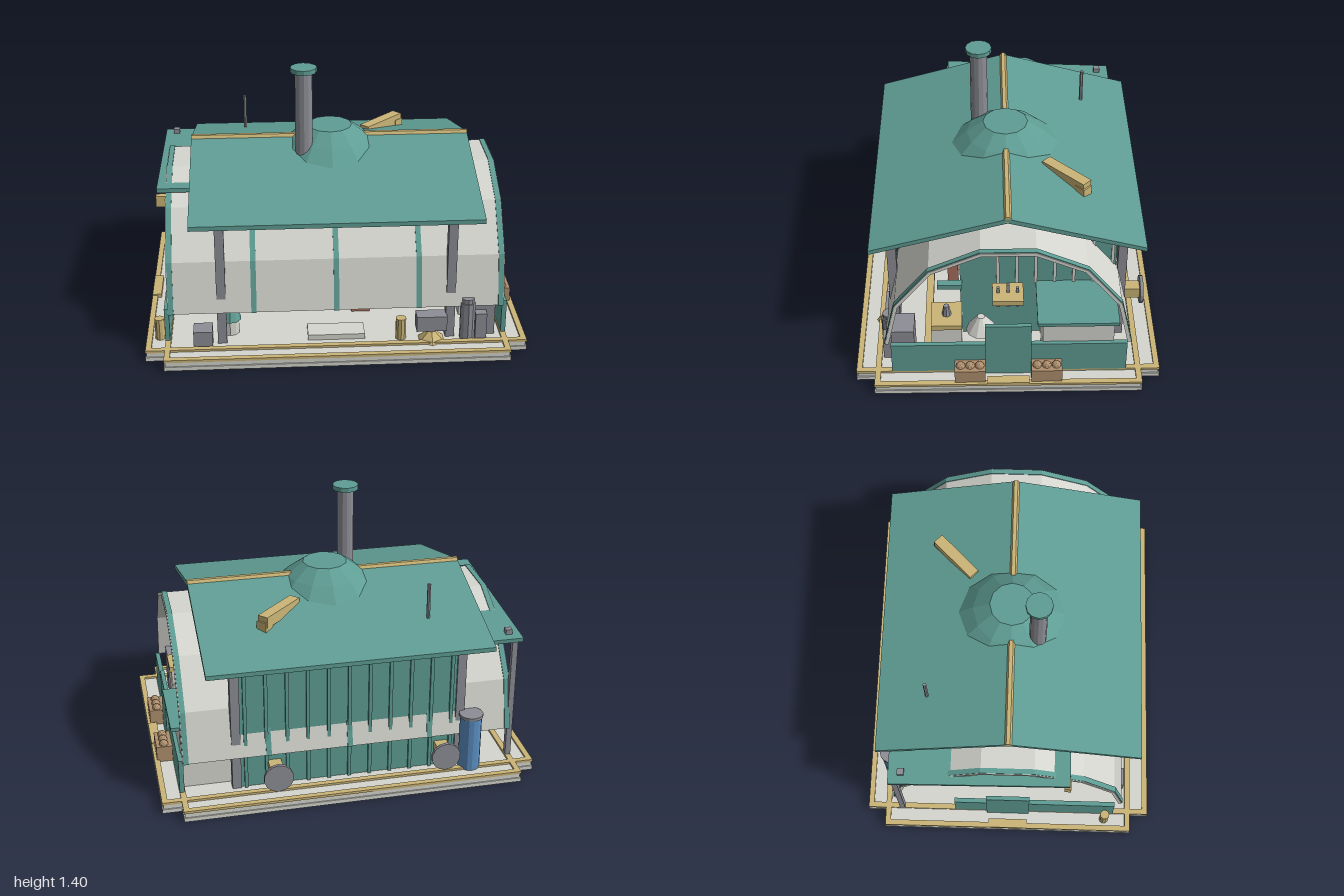
import * as THREE from 'three';

const mat = (name, color) => Object.assign(new THREE.MeshStandardMaterial({ color, flatShading: true }), { name });

export function createModel() {
  const root = new THREE.Group();
  const teal = mat('teal paint', 0x5f9d94), white = mat('off white panel', 0xd6d6d0), grey = mat('grey metal', 0x8d8e96),
    tan = mat('tan timber', 0xcbb577), brown = mat('brown crate', 0xb0906e), brick = mat('brick red', 0xa96f5c),
    blue = mat('barrel blue', 0x5b8fc2);

  const add = (name, geo, m, x = 0, y = 0, z = 0) => {
    const mesh = new THREE.Mesh(geo, m);
    mesh.name = name;
    mesh.position.set(x, y, z);
    root.add(mesh);
    return mesh;
  };
  // box given by its limits on each axis
  const box = (name, m, x0, x1, y0, y1, z0, z1) =>
    add(name, new THREE.BoxGeometry(x1 - x0, y1 - y0, z1 - z0), m, (x0 + x1) / 2, (y0 + y1) / 2, (z0 + z1) / 2);
  const cyl = (name, m, x, z, y0, y1, r0, r1 = r0, n = 10) =>
    add(name, new THREE.CylinderGeometry(r1, r0, y1 - y0, n), m, x, (y0 + y1) / 2, z);

  // Base: two crossing slabs with timber frames
  for (const [a, b] of [[1, 0.7], [0.9, 0.8]]) {
    box('baseLower', white, -a, a, 0, 0.022, -b, b);
    box('baseUpper', white, -a + 0.006, a - 0.006, 0.022, 0.05, -b + 0.006, b - 0.006);
    for (const s of [-1, 1]) {
      const zc = s * (b - 0.015), xc = s * (a - 0.015);
      box('baseRailX', tan, -a, a, 0.048, 0.062, zc - 0.015, zc + 0.015);
      box('baseRailZ', tan, xc - 0.015, xc + 0.015, 0.048, 0.062, -b, b);
    }
  }
  for (const s of [-1, 1]) {
    box('doorStep', tan, s * 0.975 - 0.025, s * 0.975 + 0.025, 0.05, 0.07, -0.11, 0.11);
  }

  // Arched shell, open at both ends, with rib strips
  const half = [[0.64, 0.24], [0.58, 0.51], [0.4, 0.74], [0.14, 0.86]];
  const arch = (inset) => {
    const right = half.map(([z, y], i) => [z - inset * [1, 0.93, 0.7, 0.35][i], y - inset * [0, 0.35, 0.75, 1][i]]);
    return [...right, ...right.slice().reverse().map(([z, y]) => [-z, y])];
  };
  const archGeo = (length, outer, inner) => {
    const shape = new THREE.Shape([...arch(outer), ...arch(inner).reverse()].map(p => new THREE.Vector2(...p)));
    const g = new THREE.ExtrudeGeometry(shape, { depth: length, bevelEnabled: false });
    return g.translate(0, 0, -length / 2).rotateY(Math.PI / 2);
  };
  add('archShell', archGeo(1.76, 0, 0.018), white);
  for (const x of [-0.862, -0.431, 0, 0.431, 0.862]) add('archRib', archGeo(0.028, -0.005, 0.004), teal, x);

  // Gable roof
  const roof = new THREE.Shape([[0.705, 0.748], [0.705, 0.772], [0, 0.972], [-0.705, 0.772], [-0.705, 0.748], [0, 0.945]]
    .map(p => new THREE.Vector2(...p)));
  add('gableRoof', new THREE.ExtrudeGeometry(roof, { depth: 1.5, bevelEnabled: false })
    .translate(0, 0, -0.75).rotateY(Math.PI / 2), teal);
  add('ridgePole', new THREE.CylinderGeometry(0.02, 0.02, 1.5, 6).rotateZ(Math.PI / 2), tan, 0, 0.965);
  const dome = [[0.31, 0.87], [0.21, 0.965], [0.12, 1.03], [0, 1.03]].map(p => new THREE.Vector2(...p));
  add('roofDome', new THREE.LatheGeometry(dome, 12), teal);
  for (const x of [-0.6, 0.6]) for (const z of [-0.6, 0.6]) box('roofPost', grey, x - 0.024, x + 0.024, 0.05, 0.78, z - 0.024, z + 0.024);

  // Chimney, aerial and angled roof beam
  cyl('chimney', grey, -0.145, 0.14, 0.9, 1.39, 0.046, 0.046, 12);
  cyl('chimneyCap', teal, -0.145, 0.14, 1.38, 1.405, 0.07, 0.07, 12);
  cyl('aerial', grey, -0.46, -0.44, 0.8, 1.04, 0.01, 0.01, 6);
  const beam = add('roofBeam', new THREE.BoxGeometry(0.29, 0.06, 0.06), tan, 0.31, 0.9, -0.315);
  beam.rotation.y = Math.PI / 4;
  const beamPost = box('roofBeamPost', tan, 0.37, 0.43, 0.74, 0.9, -0.43, -0.37);
  beamPost.rotation.y = Math.PI / 4;

  // Back wall with battens and pale lining
  box('backWall', teal, -0.6, 0.6, 0.05, 0.77, -0.612, -0.585);
  box('backLining', white, -0.6, 0.6, 0.05, 0.24, -0.584, -0.576);
  for (let i = 0; i < 11; i++) {
    const x = -0.55 + i * 0.11;
    box('backBatten', teal, x - 0.009, x + 0.009, 0.05, 0.765, -0.626, -0.61);
  }

  // Inner wall facing the left end
  box('innerWall', teal, 0.575, 0.6, 0.05, 0.765, -0.57, 0.25);
  for (const z of [0.05, -0.05, -0.15, -0.25, -0.35, -0.45, -0.55]) {
    box('innerBatten', white, 0.6, 0.61, 0.41, 0.735, z - 0.008, z + 0.008);
  }
  box('innerWallCap', teal, 0.57, 0.63, 0.745, 0.77, -0.57, 0.27);

  // Low end walls with a raised middle panel
  box('leftLowWall', teal, 0.875, 0.9, 0.05, 0.25, -0.62, 0.61);
  box('leftMiddlePanel', teal, 0.89, 0.912, 0.05, 0.39, -0.12, 0.12);
  box('rightLowWall', teal, -0.9, -0.875, 0.05, 0.25, -0.3, 0.6);
  box('rightMiddlePanel', teal, -0.912, -0.89, 0.05, 0.39, -0.12, 0.12);

  // Counter on the left end
  box('counterBody', white, 0.6, 0.88, 0.05, 0.4, -0.55, -0.18);
  box('counterTop', teal, 0.57, 0.925, 0.4, 0.42, -0.57, -0.15);

  // Crates with round goods
  for (const z of [-0.2, 0.2]) {
    box('crate', brown, 0.9, 0.985, 0.05, 0.14, z - 0.08, z + 0.08);
    for (const d of [-0.05, 0, 0.05]) add('crateGoods', new THREE.IcosahedronGeometry(0.025, 1), brown, 0.943, 0.14, z + d);
  }

  // Sloped canopy on the right end
  const canopy = add('canopy', new THREE.BoxGeometry(0.36, 0.022, 0.96), teal, -0.745, 0.782, -0.15);
  canopy.rotation.x = -0.047;
  box('canopyBracket', tan, -0.93, -0.875, 0.715, 0.775, 0.3, 0.335);
  box('canopyPost', grey, -0.9, -0.87, 0.05, 0.76, -0.62, -0.59);
  box('canopyVent', grey, -0.88, -0.845, 0.76, 0.8, -0.58, -0.545);

  // Brick flue
  box('flueTop', brick, -0.2, 0.2, 0.78, 0.86, -0.26, 0.26);
  box('flueStack', brick, 0.1, 0.2, 0.05, 0.8, 0.27, 0.33);
  box('flueClamp', grey, 0.09, 0.21, 0.53, 0.56, 0.265, 0.335);

  // Stove and shelf behind the left end wall
  box('stove', white, 0.68, 0.84, 0.05, 0.31, 0.24, 0.4);
  box('stoveTray', tan, 0.67, 0.85, 0.31, 0.34, 0.24, 0.4);
  box('stoveRail', teal, 0.6, 0.64, 0.4, 0.43, 0.24, 0.37);
  cyl('stovePipe', grey, 0.76, 0.32, 0.34, 0.4, 0.025, 0.015, 8);
  cyl('lampShade', white, 0.78, 0.14, 0.25, 0.34, 0.08, 0.02);
  box('shelf', tan, 0.7, 0.84, 0.47, 0.5, -0.08, 0.08);
  for (const z of [-0.05, 0, 0.05]) box('shelfRod', grey, 0.76, 0.775, 0.4, z ? 0.53 : 0.555, z - 0.008, z + 0.008);

  // Benches and goods inside, seen under the front edge
  box('longBeam', tan, -0.65, 0.82, 0.15, 0.18, 0.4, 0.44);
  box('hangingBox', grey, -0.12, 0.12, 0.185, 0.24, 0.4, 0.5);
  box('frontSlab', white, -0.15, 0.15, 0.05, 0.08, 0.5, 0.62);
  box('innerBlock', teal, -0.09, 0.09, 0.05, 0.135, -0.1, 0.1);
  box('workTable', tan, -0.8, -0.6, 0.42, 0.45, -0.15, 0.15);
  box('workTableLegs', grey, -0.74, -0.66, 0.05, 0.42, -0.1, 0.1);

  // Small objects along the front
  cyl('bollard', tan, -0.93, 0.55, 0.05, 0.17, 0.026);
  cyl('bollard', tan, 0.34, 0.62, 0.05, 0.17, 0.028);
  cyl('canister', grey, 0.69, 0.63, 0.05, 0.26, 0.04);
  cyl('canisterCap', grey, 0.69, 0.63, 0.26, 0.285, 0.033);
  box('canisterSide', grey, 0.73, 0.79, 0.05, 0.2, 0.58, 0.66);
  cyl('machineFoot', tan, 0.5, 0.64, 0.05, 0.1, 0.075, 0.02, 6);
  box('machineBody', grey, 0.42, 0.58, 0.105, 0.19, 0.58, 0.66);
  box('toolBox', grey, -0.75, -0.65, 0.05, 0.14, 0.56, 0.66);
  cyl('bucket', white, -0.56, 0.5, 0.05, 0.13, 0.05);
  cyl('bucketCover', teal, -0.56, 0.5, 0.13, 0.22, 0.06, 0.03);
  box('cabinet', grey, 0.7, 0.84, 0.05, 0.29, 0.49, 0.61);

  // Barrel and reels along the back
  cyl('barrel', blue, -0.65, -0.66, 0.05, 0.355, 0.058, 0.058, 14);
  cyl('barrelLid', grey, -0.65, -0.66, 0.355, 0.372, 0.064, 0.064, 14);
  for (const [x, z] of [[-0.5, -0.722], [0.4, -0.742]]) {
    box('reelBracket', tan, x - 0.035, x + 0.035, 0.13, 0.195, z, -0.61);
    add('reel', new THREE.CylinderGeometry(0.078, 0.078, 0.018, 14).rotateX(Math.PI / 2), grey, x, 0.162, z);
  }
  return root;
}
